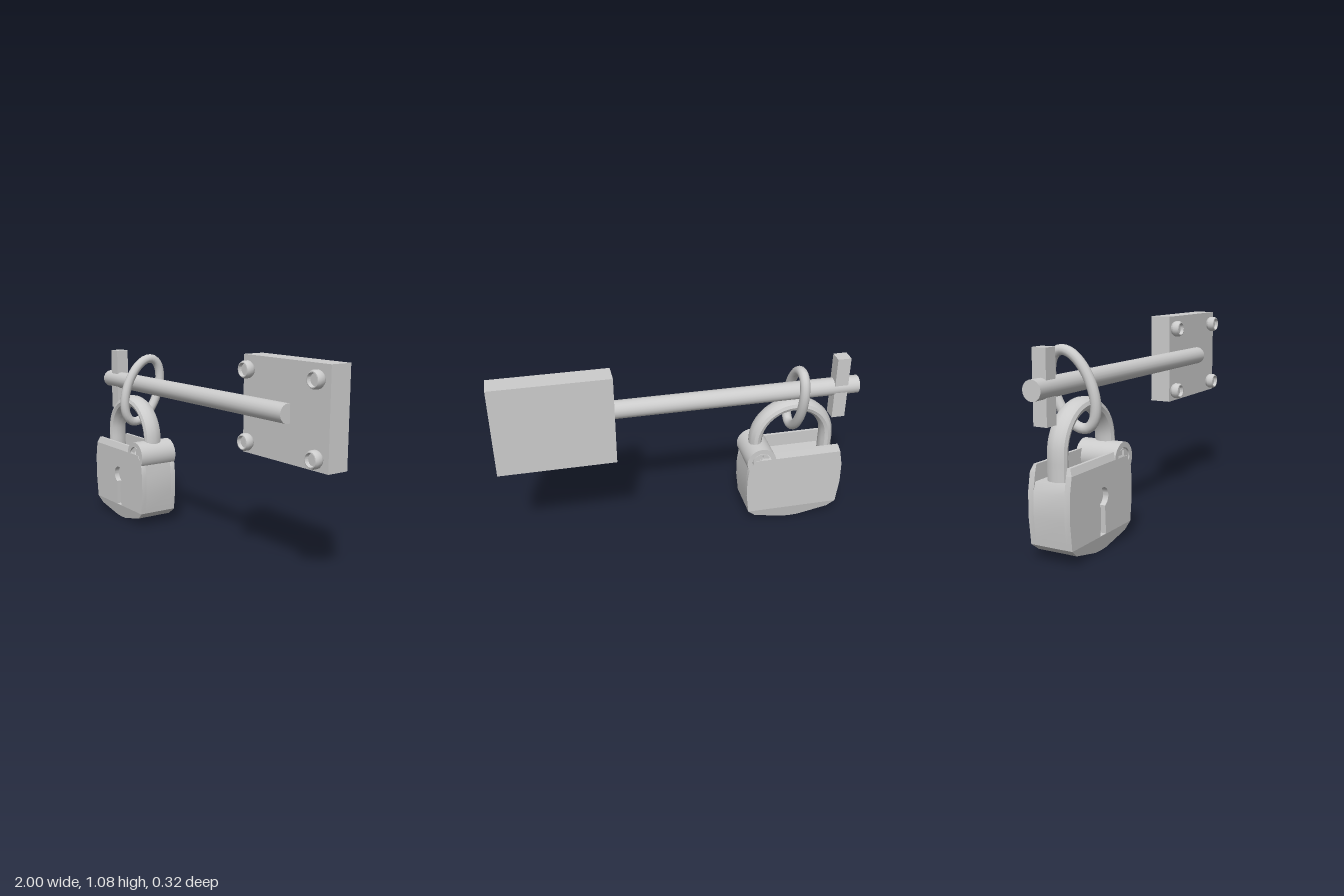
import * as THREE from 'three';
import { toCreasedNormals } from 'three/addons/utils/BufferGeometryUtils.js';

const material = new THREE.MeshStandardMaterial({ color: 0xcccccc });

function add(parent, name, geometry, x = 0, y = 0, z = 0) {
  const mesh = new THREE.Mesh(toCreasedNormals(geometry, 0.6), material);
  mesh.name = name;
  mesh.position.set(x, y, z);
  parent.add(mesh);
  return mesh;
}

const shapeOf = (points) => new THREE.Shape(points.map(([x, y]) => new THREE.Vector2(x, y)));

// Straight extrusion of a shape between two depths
function slab(shape, z0, z1) {
  const g = new THREE.ExtrudeGeometry(shape, { depth: z1 - z0, bevelEnabled: false, curveSegments: 16 });
  return g.translate(0, 0, z0);
}

// Moves vertices in z by a rule of (y, z)
function shiftZ(geometry, rule) {
  const p = geometry.attributes.position;
  for (let i = 0; i < p.count; i++) p.setZ(i, rule(p.getY(i), p.getZ(i)));
  return geometry;
}

function circlePath(x, y, r) {
  return new THREE.Path().absarc(x, y, r, 0, Math.PI * 2, true);
}

function buildBolt() {
  const profile = [[0, 0.032], [0.03, 0.032], [0.034, 0.05], [0.039, 0.049], [0.045, 0.038], [0.045, 0.014], [0.036, 0]];
  const points = profile.map(([r, h]) => new THREE.Vector2(r, h)).reverse();
  return new THREE.LatheGeometry(points, 20).rotateX(Math.PI / 2);
}

function buildPadlock() {
  const lock = new THREE.Group();
  lock.name = 'padlock';
  const zMid = 0.048, zFront = 0.163, zBack = -0.067, wall = 0.03;

  // Middle section outline, below the top strips
  const middle = [[-0.922, 0.08], [-0.388, 0.08], [-0.373, 0.2], [-0.373, 0.3], [-0.382, 0.374],
    [-0.42, 0.43], [-0.919, 0.43], [-0.936, 0.34], [-0.938, 0.22]];

  // Front panel with keyhole
  const front = shapeOf(middle);
  const keyhole = new THREE.Path();
  keyhole.moveTo(-0.677, 0.07 + 0.012);
  keyhole.lineTo(-0.67, 0.226);
  keyhole.absarc(-0.652, 0.27, 0.049, -Math.PI / 2 - 0.38, -Math.PI / 2 + 0.38, true);
  keyhole.lineTo(-0.627, 0.07 + 0.012);
  keyhole.closePath();
  front.holes.push(keyhole);
  add(lock, 'frontPanel', slab(front, zFront - wall, zFront));
  add(lock, 'backPanel', slab(shapeOf(middle), zBack, zBack + wall));

  // Core between the panels, its top is the floor of the trough
  const core = middle.map(([x, y]) => [x, Math.min(y, 0.385)]);
  add(lock, 'core', slab(shapeOf(core), zBack + wall, zFront - wall));

  // Tapered base
  const base = shapeOf([[-0.922, 0.08], [-0.875, 0.043], [-0.7, 0.003], [-0.65, 0], [-0.6, 0.003], [-0.43, 0.043], [-0.388, 0.08]]);
  add(lock, 'base', shiftZ(slab(base, zBack, zFront), (y, z) => z - Math.sign(z - zMid) * (0.08 - y) * 0.2));

  // Sloped rims of the two walls
  const rim = shapeOf([[-0.919, 0.43], [-0.45, 0.43], [-0.47, 0.465], [-0.908, 0.465]]);
  for (const side of [1, -1]) {
    const outer = side > 0 ? zFront : zBack;
    const g = slab(rim, Math.min(outer, outer - side * wall), Math.max(outer, outer - side * wall));
    add(lock, side > 0 ? 'frontRim' : 'backRim',
      shiftZ(g, (y, z) => Math.abs(z - outer) < 1e-4 ? z - side * (y - 0.43) * 0.4 : z));
  }

  // Hinge barrel with a slotted pin recessed in each end
  const bx = -0.452, by = 0.42;
  const ring = new THREE.Shape().absarc(bx, by, 0.084, 0, Math.PI * 2);
  ring.holes.push(circlePath(bx, by, 0.056));
  add(lock, 'hingeBarrel', slab(ring, zBack, zFront));
  const disc = new THREE.Shape().absarc(bx, by, 0.056, 0, Math.PI * 2);
  add(lock, 'pinCore', slab(disc, zBack + 0.025, zFront - 0.025));
  const pin = new THREE.Shape().absarc(bx, by, 0.05, 0, Math.PI * 2);
  const slot = [[-0.008, -0.042], [-0.008, 0.042], [0.008, 0.042], [0.008, -0.042]];
  pin.holes.push(new THREE.Path(slot.map(([x, y]) => new THREE.Vector2(bx + x, by + y))));
  add(lock, 'frontPin', slab(pin, zFront - 0.026, zFront - 0.004));
  add(lock, 'backPin', slab(pin, zBack + 0.004, zBack + 0.026));

  // Shackle: arch with two legs, deeper than it is wide
  const path = [new THREE.Vector3(0.21, -0.13, 0), new THREE.Vector3(0.21, -0.06, 0)];
  for (let i = 0; i <= 12; i++) {
    const a = (i / 12) * Math.PI;
    path.push(new THREE.Vector3(Math.cos(a) * 0.21, Math.sin(a) * 0.21, 0));
  }
  path.push(new THREE.Vector3(-0.21, -0.06, 0), new THREE.Vector3(-0.21, -0.13, 0));
  const shackle = new THREE.TubeGeometry(new THREE.CatmullRomCurve3(path), 48, 0.036, 12);
  add(lock, 'shackle', shackle.scale(1, 1, 1.5), -0.65, 0.505, zMid);
  return lock;
}

export function createModel() {
  const model = new THREE.Group();
  model.name = 'latchWithPadlock';

  // Wall plate and its four bolts
  add(model, 'mountingPlate', new THREE.BoxGeometry(0.625, 0.5, 0.12), 0.683, 0.825, -0.06);
  for (const x of [0.422, 0.925]) {
    for (const y of [0.636, 1.003]) add(model, 'bolt', buildBolt(), x, y, 0);
  }

  // Rod with a cross bar near its free end
  add(model, 'rod', new THREE.CylinderGeometry(0.05, 0.05, 1.727, 20).rotateZ(Math.PI / 2), -0.1365, 0.82, 0.012);
  add(model, 'crossBar', new THREE.BoxGeometry(0.075, 0.36, 0.075), -0.893, 0.825, 0.005);

  // Oval link hanging on the rod
  const oval = [];
  for (let i = 0; i < 24; i++) {
    const a = (i / 24) * Math.PI * 2;
    oval.push(new THREE.Vector3(0, Math.cos(a) * 0.2, Math.sin(a) * 0.107));
  }
  const link = new THREE.TubeGeometry(new THREE.CatmullRomCurve3(oval, true), 48, 0.027, 12, true);
  add(model, 'link', link, -0.64, 0.78, -0.008).rotation.set(-0.41, 0, 0.02);

  model.add(buildPadlock());
  return model;
}
